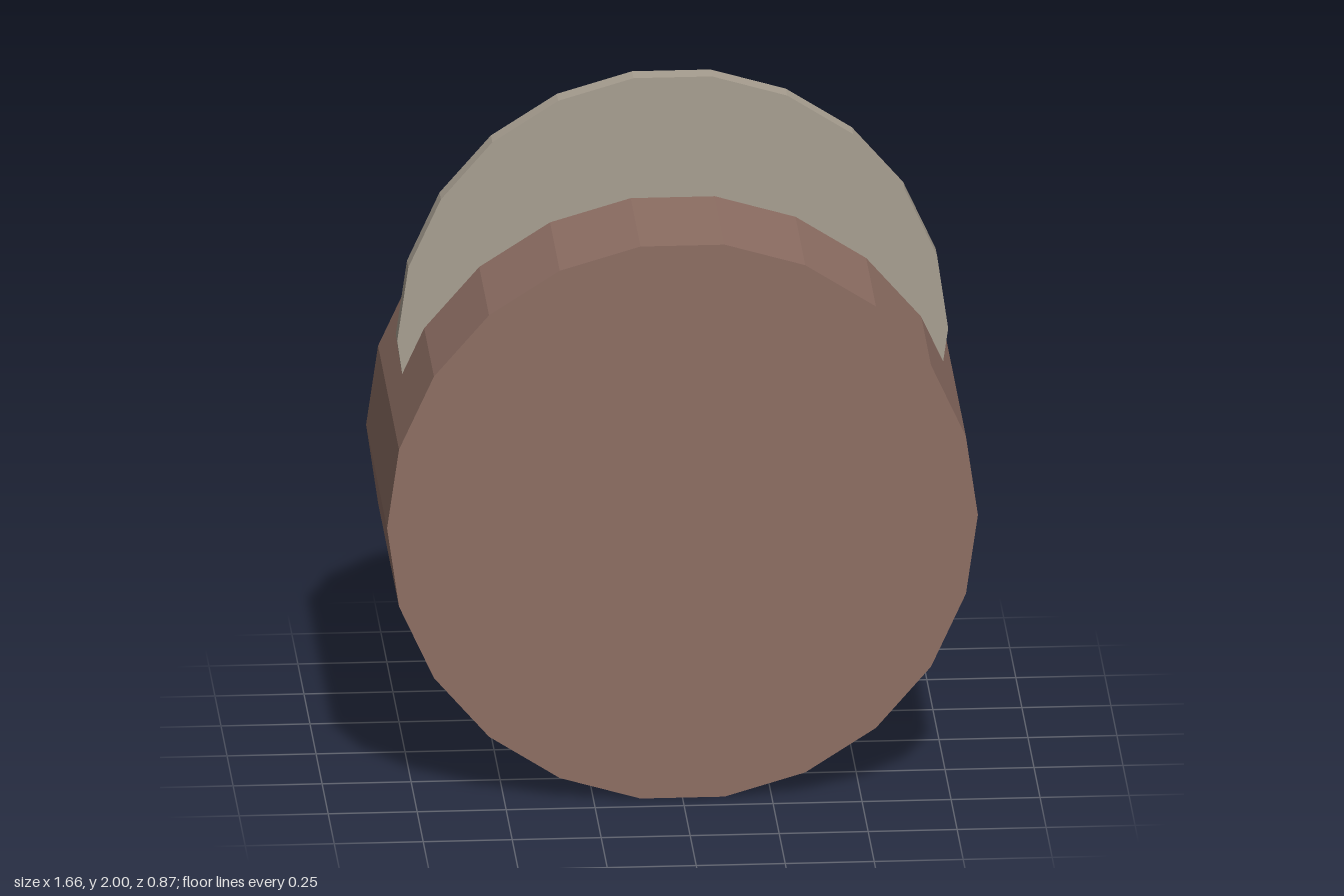
import * as THREE from 'three';

const SIDES = 22;

// Faceted disc facing +z, with a corner on the x axis and a flat on top
function disc(name, radius, depth, y, color) {
  const geometry = new THREE.CylinderGeometry(radius, radius, depth, SIDES, 1, false, Math.PI / 2);
  geometry.rotateX(Math.PI / 2);
  const mesh = new THREE.Mesh(geometry, new THREE.MeshStandardMaterial({ color, flatShading: true }));
  mesh.name = name;
  mesh.position.y = y;
  return mesh;
}

export function createModel() {
  const model = new THREE.Group();
  model.name = 'drumWithFin';

  const flat = Math.cos(Math.PI / SIDES); // flat distance per unit radius
  const bodyRadius = 0.83;
  const finRadius = 0.774;

  // Thick drum resting on its lowest flat
  model.add(disc('drum', bodyRadius, 0.866, bodyRadius * flat, 0x8d6e63));
  // Thin disc sunk into the top of the drum
  model.add(disc('fin', finRadius, 0.058, 2 - finRadius * flat, 0xa89f91));

  return model;
}
